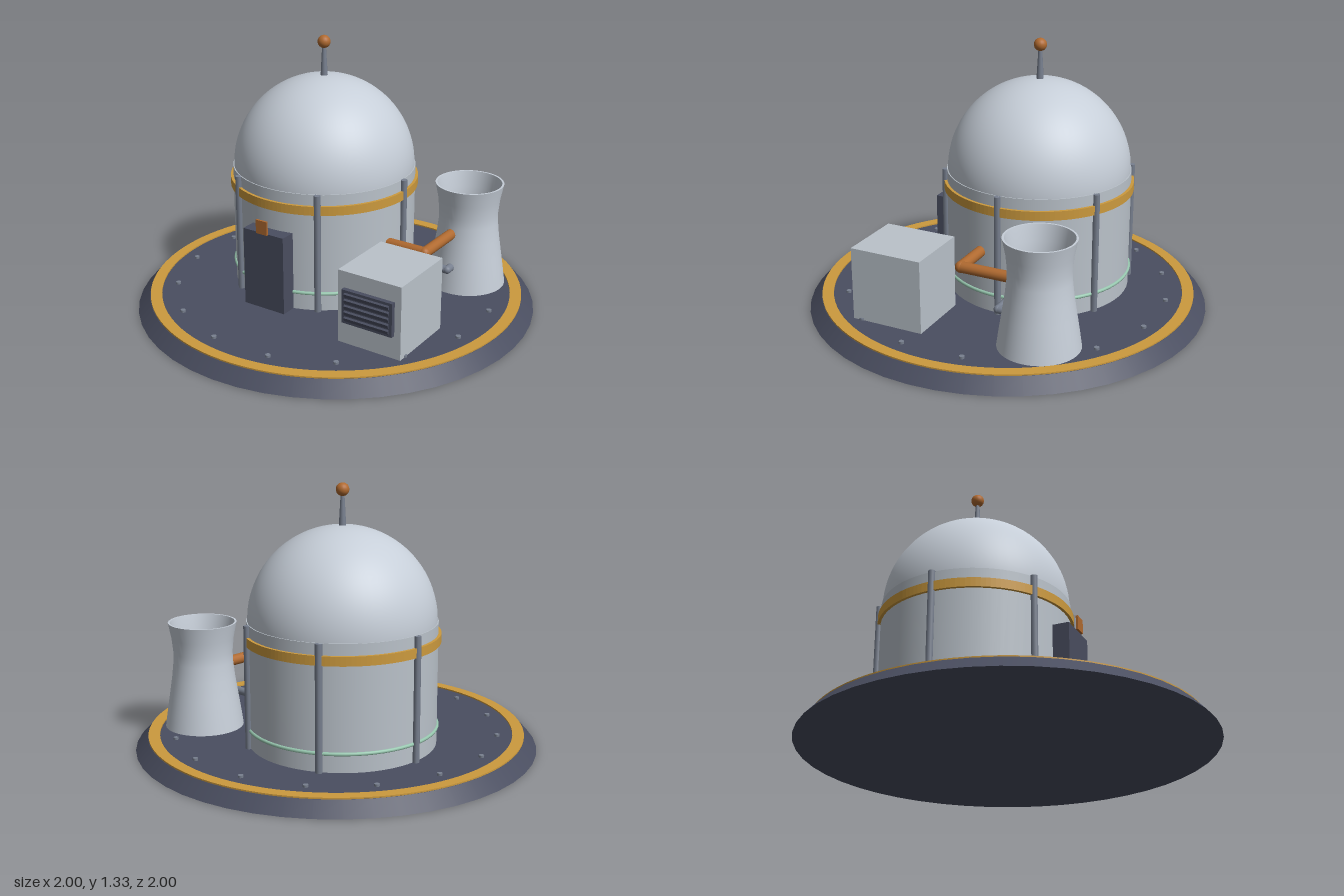
import * as THREE from 'three';

const mat = (name, color, side = THREE.FrontSide) => {
  const m = new THREE.MeshStandardMaterial({ color, side });
  m.name = name;
  return m;
};

export function createModel() {
  const slate = mat('slate', 0x4a4e60);
  const amber = mat('amber', 0xcc9a3e);
  const shell = mat('pale shell', 0xc6ced8);
  const wall = mat('wall grey', 0xbac2ca);
  const steel = mat('steel', 0x78808f);
  const copper = mat('copper', 0xb06a30);
  const mint = mat('mint', 0x98c8b0);

  const model = new THREE.Group();
  model.name = 'reactorStation';

  const add = (name, geometry, material, x = 0, y = 0, z = 0, parent = model) => {
    const mesh = new THREE.Mesh(geometry, material);
    mesh.name = name;
    mesh.position.set(x, y, z);
    parent.add(mesh);
    return mesh;
  };
  const group = (name, x = 0, y = 0, z = 0) => {
    const g = new THREE.Group();
    g.name = name;
    g.position.set(x, y, z);
    model.add(g);
    return g;
  };
  const lathe = (points, segments) =>
    new THREE.LatheGeometry(points.map(([r, y]) => new THREE.Vector2(r, y)), segments);
  // Flat-edged ring with a rectangular section
  const band = (inner, outer, y0, y1, segments = 64) => {
    const shape = new THREE.Shape().absarc(0, 0, outer, 0, Math.PI * 2);
    shape.holes.push(new THREE.Path().absarc(0, 0, inner, 0, Math.PI * 2, true));
    const g = new THREE.ExtrudeGeometry(shape, {
      depth: y1 - y0, bevelEnabled: false, curveSegments: segments,
    });
    return g.rotateX(-Math.PI / 2).translate(0, y0, 0);
  };

  // Round platform with amber edge ring and bolts
  const deckY = 0.065;
  add('platform', new THREE.CylinderGeometry(0.94, 1, deckY, 48), slate, 0, deckY / 2, 0);
  add('edgeRing', band(0.88, 0.937, deckY, 0.072, 48), amber);
  const bolts = group('bolts');
  for (let i = 0; i < 16; i++) {
    const a = ((i + 0.5) / 16) * Math.PI * 2;
    add('bolt', new THREE.CylinderGeometry(0.013, 0.013, 0.012, 8), steel,
      Math.cos(a) * 0.805, deckY + 0.005, Math.sin(a) * 0.805, bolts);
  }

  // Domed containment building
  const building = group('containment', -0.14, 0, -0.105);
  add('drum', new THREE.CylinderGeometry(0.46, 0.46, 0.605, 64), wall, 0, 0.3675, 0, building);
  add('dome', new THREE.SphereGeometry(0.455, 64, 24, 0, Math.PI * 2, 0, Math.PI / 2),
    shell, 0, 0.67, 0, building);
  add('amberBand', band(0.455, 0.474, 0.57, 0.615), amber, 0, 0, 0, building);
  add('mintRing', new THREE.TorusGeometry(0.461, 0.009, 8, 64).rotateX(Math.PI / 2),
    mint, 0, 0.155, 0, building);
  for (let i = 0; i < 6; i++) {
    const a = (i / 6) * Math.PI * 2;
    add('rib', new THREE.CylinderGeometry(0.017, 0.017, 0.605, 8), steel,
      Math.cos(a) * 0.467, 0.3675, Math.sin(a) * 0.467, building);
  }

  // Mast and ball on top of the dome
  add('mast', new THREE.CylinderGeometry(0.009, 0.018, 0.16, 12), steel, 0, 1.2, 0, building);
  add('mastBall', new THREE.SphereGeometry(0.032, 20, 14), copper, 0, 1.293, 0, building);

  // Doorway with copper sign plate
  add('door', new THREE.BoxGeometry(0.235, 0.4, 0.09), slate, -0.14, 0.265, 0.375);
  add('doorSign', new THREE.BoxGeometry(0.064, 0.07, 0.01), copper, -0.14, 0.498, 0.427);

  // Flared cooling tower, open at the top
  const outer = [[0.197, 0.065], [0.186, 0.14], [0.172, 0.23], [0.158, 0.32],
    [0.149, 0.4], [0.148, 0.45], [0.155, 0.52], [0.171, 0.6]];
  const inner = outer.map(([r, y]) => [r - 0.01, y]).reverse();
  const tower = group('coolingTower', 0.526, 0, -0.417);
  add('towerOutside', lathe(outer, 48), shell, 0, 0, 0, tower);
  add('towerInside', lathe(inner, 48), shell, 0, 0, 0, tower);
  add('towerRim', lathe([outer[outer.length - 1], inner[0]], 48), shell, 0, 0, 0, tower);

  // Pipes: straight runs joined by round elbows
  const pipe = (name, points, radius, material) => {
    const g = group(name);
    const pts = points.map((p) => new THREE.Vector3(...p));
    for (let i = 0; i < pts.length - 1; i++) {
      const path = new THREE.LineCurve3(pts[i], pts[i + 1]);
      add('run', new THREE.TubeGeometry(path, 1, radius, 16), material, 0, 0, 0, g);
      if (i > 0) {
        add('elbow', new THREE.SphereGeometry(radius * 1.04, 16, 12), material, ...points[i], g);
      }
    }
  };
  pipe('copperPipe', [[0.28, 0.366, -0.005], [0.508, 0.366, -0.005], [0.508, 0.366, -0.27]],
    0.027, copper);
  pipe('steelPipe', [[0.28, 0.2, -0.207], [0.526, 0.2, -0.207], [0.526, 0.2, -0.4]],
    0.02, steel);
  add('steelPipeEnd', new THREE.SphereGeometry(0.02, 16, 12), steel, 0.526, 0.2, -0.4);

  // Equipment block with slatted vent
  add('equipmentBlock', new THREE.BoxGeometry(0.335, 0.365, 0.37), wall, 0.506, 0.2475, 0.306);
  const vent = group('vent', 0.506, 0.265, 0.491);
  add('ventPanel', new THREE.BoxGeometry(0.268, 0.168, 0.024), slate, 0, 0, 0.011, vent);
  for (let i = 0; i < 5; i++) {
    const slat = add('slat', new THREE.BoxGeometry(0.235, 0.02, 0.012), slate,
      0, (i - 2) * 0.03, 0.024, vent);
    slat.rotation.x = 0.4;
  }

  return model;
}
